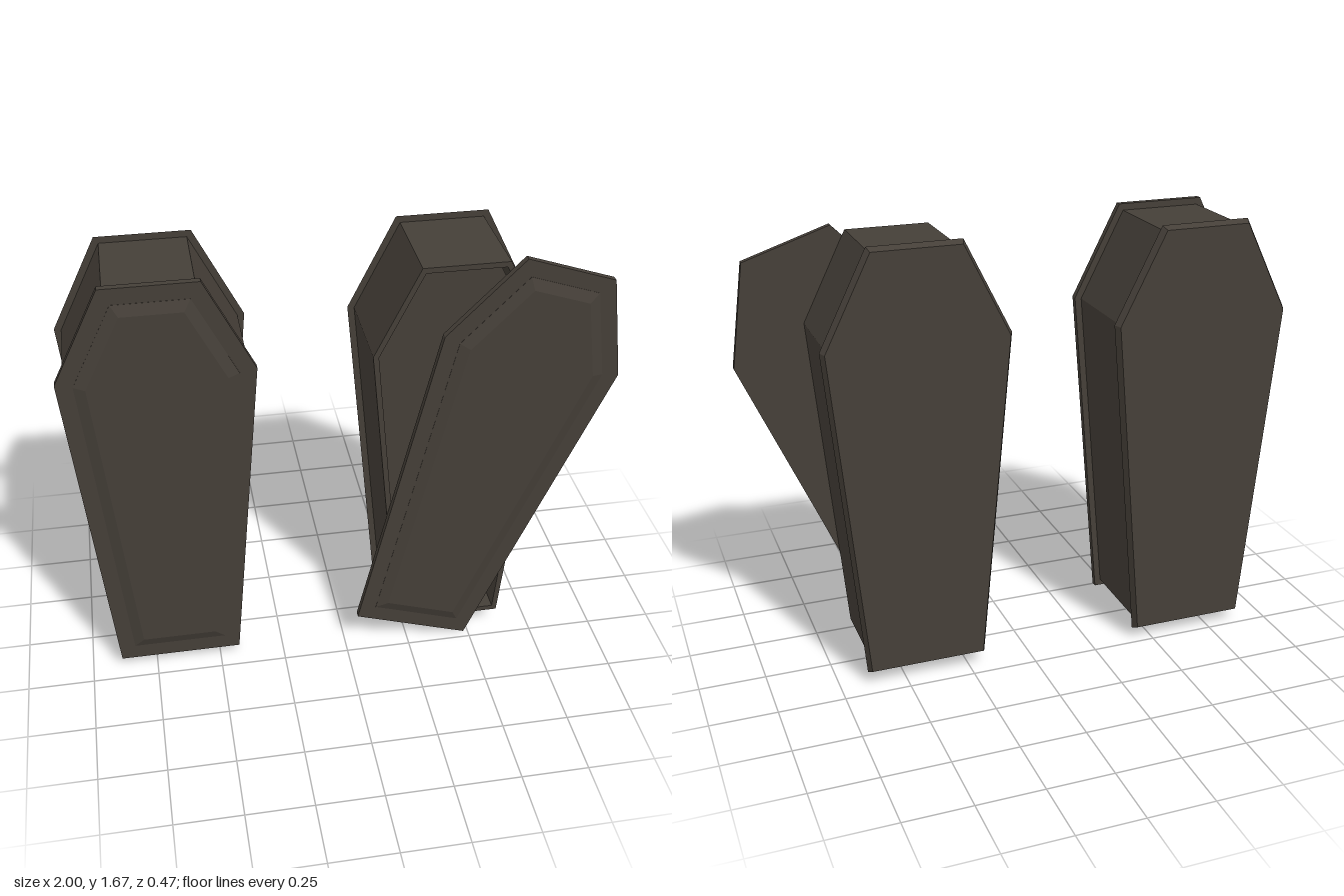
import * as THREE from 'three';

// Six-sided casket outline centred on the origin, inset evenly by d (counter-clockwise from the front)
function outline(d) {
  const half = [
    [0.23 - 0.914 * d, -0.81 + d],
    [0.345 - 1.021 * d, 0.46 - 0.194 * d],
    [0.17 - 0.618 * d, 0.81 - d],
  ];
  return [...half, ...half.map(([x, y]) => [-x, y]).reverse()];
}

// Joins outlines given as [inset, z] from back to front and caps both ends
function loft(sections) {
  const rings = sections.map(([d, z]) => outline(d).map(([x, y]) => [x, y, z]));
  const pos = [];
  const tri = (a, b, c) => pos.push(...a, ...b, ...c);
  for (let s = 0; s < rings.length - 1; s++) {
    const a = rings[s], b = rings[s + 1];
    for (let i = 0; i < 6; i++) {
      const j = (i + 1) % 6;
      tri(a[i], a[j], b[j]);
      tri(a[i], b[j], b[i]);
    }
  }
  const back = rings[0], front = rings[rings.length - 1];
  for (let i = 1; i < 5; i++) {
    tri(back[0], back[i + 1], back[i]);
    tri(front[0], front[i], front[i + 1]);
  }
  const geo = new THREE.BufferGeometry();
  geo.setAttribute('position', new THREE.Float32BufferAttribute(pos, 3));
  geo.computeVertexNormals();
  return geo;
}

export function createModel() {
  const model = new THREE.Group();
  const darkWood = new THREE.MeshStandardMaterial({ color: 0x453f38 });
  darkWood.name = 'darkWood';

  const add = (parent, name, sections) => {
    const mesh = new THREE.Mesh(loft(sections), darkWood);
    mesh.name = name;
    parent.add(mesh);
  };

  // Lid: flat frame with a raised, bevelled panel
  const addLid = (parent) => {
    const lid = new THREE.Group();
    lid.name = 'lid';
    add(lid, 'lidFrame', [[0, 0], [0, 0.025]]);
    add(lid, 'lidPanel', [[0.06, 0.024], [0.06, 0.026], [0.1, 0.041]]);
    parent.add(lid);
    return lid;
  };

  // Closed casket
  const closed = new THREE.Group();
  closed.name = 'closedCasket';
  closed.position.set(-0.655, 0.855, 0);
  add(closed, 'closedBase', [[0.013, -0.235], [0, -0.208], [0.025, -0.208]]);
  add(closed, 'closedBody', [[0.025, -0.21], [0.025, 0.162]]);
  addLid(closed).position.z = 0.162;
  model.add(closed);

  // Open casket: hollow body with a rim and inner floor
  const open = new THREE.Group();
  open.name = 'openCasket';
  open.position.set(0.415, 0.863, 0);
  add(open, 'openBase', [[0.013, -0.203], [0, -0.176], [0.025, -0.176]]);
  add(open, 'openBody', [[0.025, -0.178], [0.025, 0.19], [0.045, 0.19], [0.045, -0.17]]);
  model.add(open);

  // Loose lid leaning across the open casket
  const loose = addLid(model);
  loose.name = 'looseLid';
  loose.position.set(0.5225, 0.845, 0.194);
  loose.rotation.z = -0.324;

  return model;
}
